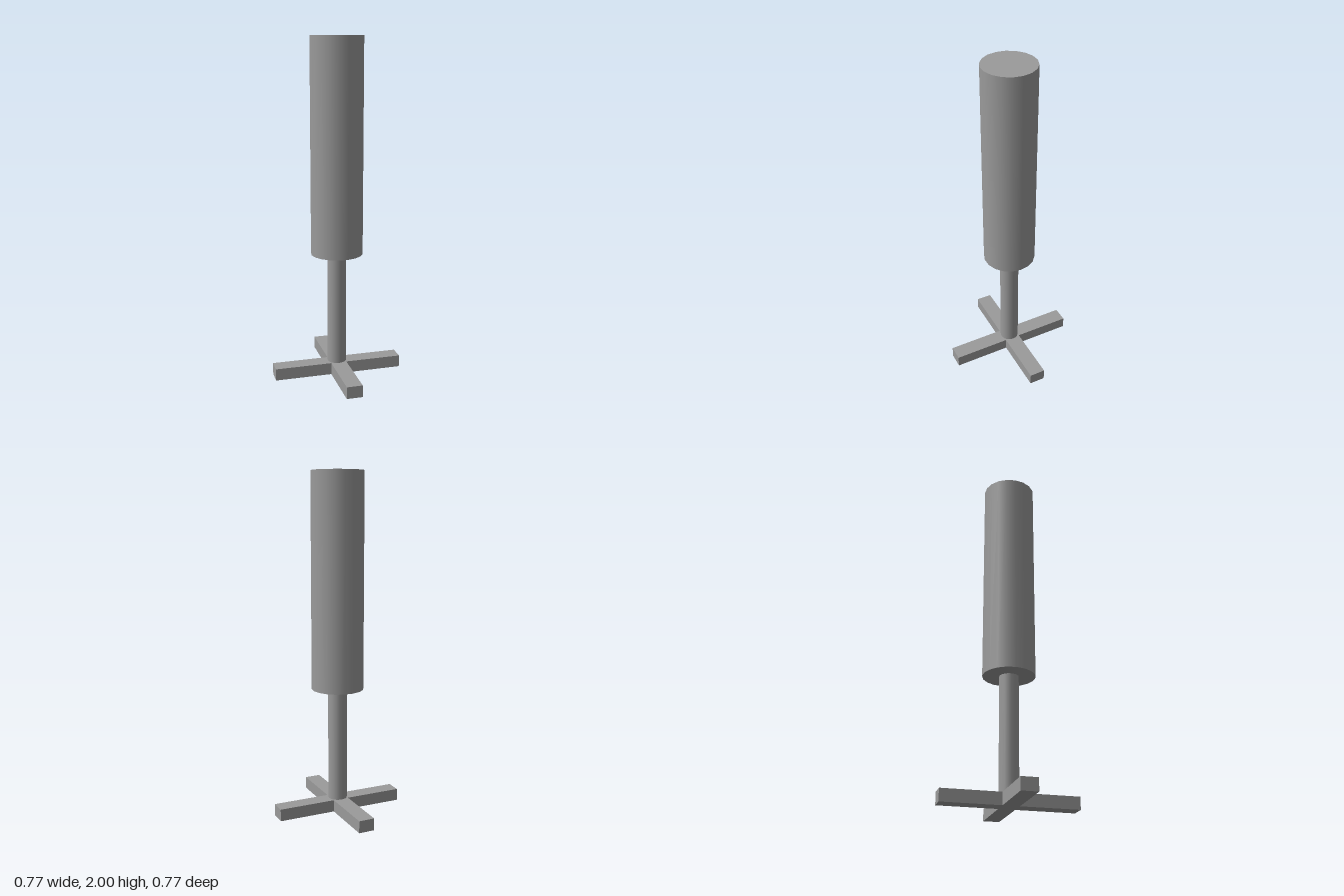
import * as THREE from 'three';

const material = new THREE.MeshStandardMaterial({ color: 0x9a9a9a });

// Upright smooth 18-sided cylinder between two heights
function column(name, radius, bottom, top) {
  const geometry = new THREE.CylinderGeometry(radius, radius, top - bottom, 18);
  geometry.rotateY(Math.PI / 2);
  const mesh = new THREE.Mesh(geometry, material);
  mesh.name = name;
  mesh.position.y = (bottom + top) / 2;
  return mesh;
}

export function createModel() {
  const group = new THREE.Group();
  group.name = 'paddedPost';

  // Cross-shaped foot: one arm outline repeated around the centre
  const reach = 0.386, half = 0.047, height = 0.071;
  const points = [];
  for (let i = 0; i < 4; i++) {
    for (const [x, y] of [[half, -half], [reach, -half], [reach, half]]) {
      points.push(new THREE.Vector2(x, y).rotateAround(new THREE.Vector2(), i * Math.PI / 2));
    }
  }
  const footGeometry = new THREE.ExtrudeGeometry(new THREE.Shape(points), { depth: height, bevelEnabled: false });
  footGeometry.rotateX(-Math.PI / 2);
  const foot = new THREE.Mesh(footGeometry, material);
  foot.name = 'crossFoot';
  group.add(foot);

  // Thin post and thick upper body
  group.add(column('post', 0.056, height, 0.743));
  group.add(column('upperBody', 0.153, 0.743, 2));

  return group;
}
